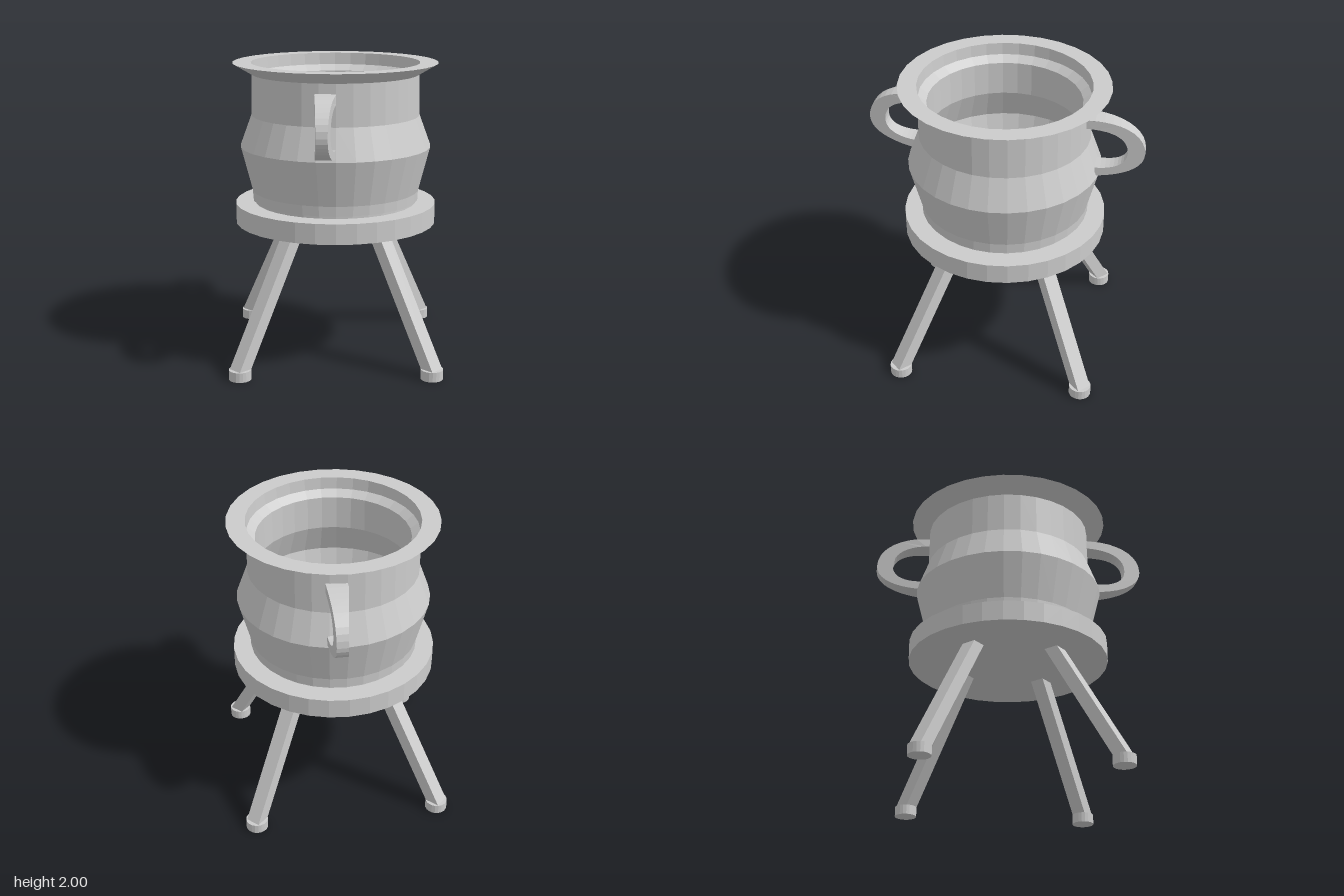
import * as THREE from 'three';

const SIDES = 32;
const mat = new THREE.MeshStandardMaterial({ color: 0xcccccc, flatShading: true });

function add(parent, name, geometry, x = 0, y = 0, z = 0) {
  const mesh = new THREE.Mesh(geometry, mat);
  mesh.name = name;
  mesh.position.set(x, y, z);
  parent.add(mesh);
  return mesh;
}

// D-shaped handle drawn in (z, y), extruded across x and narrowed toward its tip
function handleGeometry() {
  const s = new THREE.Shape();
  s.moveTo(0.54, 1.86);
  s.bezierCurveTo(0.74, 1.87, 0.925, 1.8, 0.925, 1.64);
  s.bezierCurveTo(0.925, 1.53, 0.78, 1.47, 0.61, 1.455);
  s.lineTo(0.61, 1.515);
  s.bezierCurveTo(0.72, 1.515, 0.815, 1.55, 0.815, 1.64);
  s.bezierCurveTo(0.815, 1.75, 0.71, 1.8, 0.54, 1.8);
  s.closePath();
  const g = new THREE.ExtrudeGeometry(s, { depth: 0.135, bevelEnabled: false, curveSegments: 10 });
  g.rotateY(-Math.PI / 2);
  const p = g.attributes.position;
  for (let i = 0; i < p.count; i++) {
    const out = Math.max(0, p.getZ(i) - 0.6);
    p.setX(i, p.getX(i) > -0.06 ? -0.16 * out : -0.135 + 0.03 * out);
  }
  g.computeVertexNormals();
  return g;
}

// Square leg, horizontal at both ends, leaning outward along the diagonal
function legGeometry(sx, sz) {
  const y0 = 0.05, y1 = 0.93, foot = 0.63, top = 0.27;
  const g = new THREE.CylinderGeometry(0.07, 0.07, y1 - y0, 4);
  g.translate(0, (y0 + y1) / 2, 0);
  const p = g.attributes.position;
  for (let i = 0; i < p.count; i++) {
    const r = THREE.MathUtils.mapLinear(p.getY(i), y0, y1, foot, top);
    p.setX(i, p.getX(i) + sx * r);
    p.setZ(i, p.getZ(i) + sz * r);
  }
  g.computeVertexNormals();
  return g;
}

export function createModel() {
  const model = new THREE.Group();
  model.name = 'potOnStand';

  // Stand: round plate on four splayed legs with disc feet
  const stand = new THREE.Group();
  stand.name = 'stand';
  model.add(stand);
  add(stand, 'plate', new THREE.CylinderGeometry(0.68, 0.68, 0.135, SIDES), 0, 0.9875, 0);
  for (const sx of [-1, 1]) {
    for (const sz of [-1, 1]) {
      add(stand, 'leg', legGeometry(sx, sz));
      add(stand, 'foot', new THREE.CylinderGeometry(0.074, 0.074, 0.066, 20), sx * 0.626, 0.033, sz * 0.626);
    }
  }

  // Pot: up the outside, over the flared rim, down the inside to the floor
  const profile = [
    [0, 1.056], [0.545, 1.056], [0.545, 1.072], [0.562, 1.075], [0.565, 1.14],
    [0.642, 1.44], [0.565, 1.65], [0.562, 1.925], [0.688, 2],
    [0.565, 2], [0.558, 1.92], [0.505, 1.88], [0.505, 1.65],
    [0.585, 1.44], [0.51, 1.14], [0.505, 1.11], [0, 1.11],
  ].map(([r, y]) => new THREE.Vector2(r, y));
  add(model, 'pot', new THREE.LatheGeometry(profile, SIDES));

  // Two handles, half a turn apart
  const handle = handleGeometry();
  for (const turn of [0, Math.PI]) add(model, 'handle', handle).rotation.y = turn;

  return model;
}
